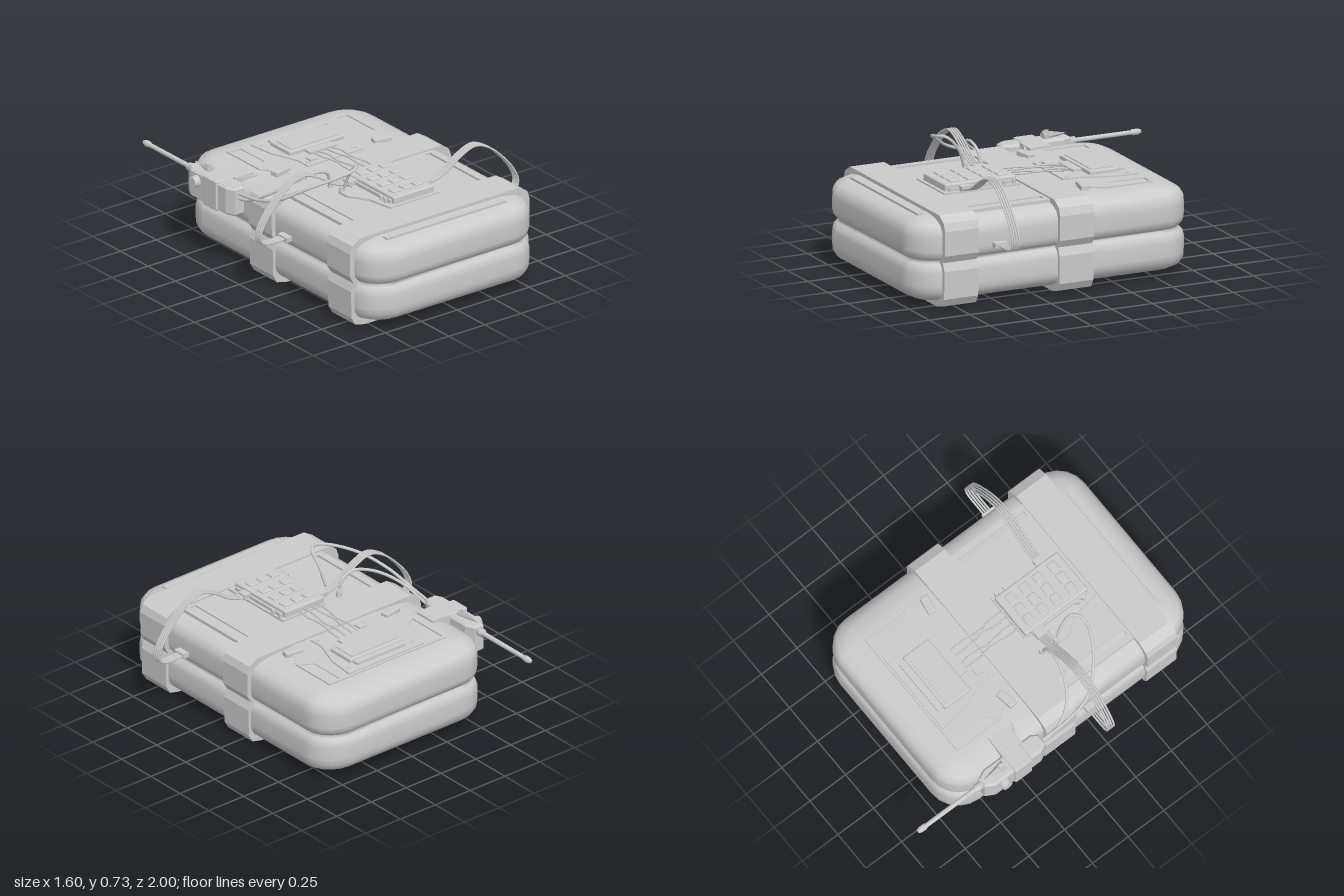
import * as THREE from 'three';
import { RoundedBoxGeometry } from 'three/addons/geometries/RoundedBoxGeometry.js';

const mat = new THREE.MeshStandardMaterial({ color: 0xcccccc });
const thinMat = new THREE.MeshStandardMaterial({ color: 0xcccccc, side: THREE.DoubleSide });
const V = (p) => new THREE.Vector3(...p);

function add(parent, name, geo, pos = [0, 0, 0], material = mat) {
  const m = new THREE.Mesh(geo, material);
  m.name = name;
  m.position.set(...pos);
  parent.add(m);
  return m;
}
// box given by its extents on each axis
function box(parent, name, [x0, x1], [y0, y1], [z0, z1], r = 0) {
  const s = [x1 - x0, y1 - y0, z1 - z0];
  const geo = r ? new RoundedBoxGeometry(...s, 2, r) : new THREE.BoxGeometry(...s);
  return add(parent, name, geo, [(x0 + x1) / 2, (y0 + y1) / 2, (z0 + z1) / 2]);
}
// flat plate from an (x, z) outline, with optional holes
function plate(parent, name, pts, top, h, holes = [], bevel = 0) {
  const path = (a) => a.map((p) => new THREE.Vector2(...p));
  const shape = new THREE.Shape(path(pts));
  holes.forEach((q) => shape.holes.push(new THREE.Path(path(q))));
  const geo = new THREE.ExtrudeGeometry(shape, {
    depth: h, bevelEnabled: bevel > 0, bevelSize: bevel, bevelOffset: -bevel, bevelThickness: bevel, bevelSegments: 1,
  });
  geo.rotateX(Math.PI / 2);
  return add(parent, name, geo, [0, top - bevel, 0]);
}
function wire(parent, name, pts, r, segs = 32, sides = 6) {
  const curve = new THREE.CatmullRomCurve3(pts.map(V));
  return add(parent, name, new THREE.TubeGeometry(curve, segs, r, sides), [0, 0, 0], thinMat);
}
const mirrorX = (pts) => pts.map(([x, y]) => [-x, y]).reverse();

// padded case: rounded rectangles stacked by height and inset
function cushionGeometry() {
  const half = [[0.02, 0.26], [0.024, 0.15], [0.036, 0.075], [0.06, 0.025], [0.095, 0.003], [0.13, 0],
    [0.205, 0], [0.235, 0.008], [0.255, 0.025], [0.267, 0.04]];
  const rows = half.concat(half.slice(0, -1).reverse().map(([y, i]) => [0.534 - y, i]));
  const pos = [], idx = [], seg = 5, n = 4 * (seg + 1);
  for (const [y, inset] of rows) {
    const r = Math.max(0.19 - inset, 0.03), hx = 0.597 - inset - r, hz = 0.86 - inset - r;
    for (let c = 0; c < 4; c++) {
      const sx = c === 0 || c === 3 ? 1 : -1, sz = c < 2 ? 1 : -1;
      for (let k = 0; k <= seg; k++) {
        const a = (c + k / seg) * Math.PI / 2;
        pos.push(sx * hx + r * Math.cos(a), y, 0.14 + sz * hz + r * Math.sin(a));
      }
    }
  }
  for (let j = 0; j < rows.length - 1; j++) {
    for (let i = 0; i < n; i++) {
      const a = j * n + i, b = j * n + (i + 1) % n;
      idx.push(a, a + n, b, b, a + n, b + n);
    }
  }
  const low = pos.length / 3, last = (rows.length - 1) * n;
  pos.push(0, 0.02, 0.14, 0, 0.514, 0.14);
  for (let i = 0; i < n; i++) {
    const k = (i + 1) % n;
    idx.push(low, i, k, low + 1, last + k, last + i);
  }
  const geo = new THREE.BufferGeometry();
  geo.setAttribute('position', new THREE.Float32BufferAttribute(pos, 3));
  geo.setIndex(idx);
  geo.computeVertexNormals();
  return geo;
}

export function createModel() {
  const root = new THREE.Group();
  root.name = 'satchelDevice';
  const group = (name) => {
    const g = new THREE.Group();
    g.name = name;
    root.add(g);
    return g;
  };
  add(root, 'paddedCase', cushionGeometry());

  // wraparound straps
  const side = [[0.52, 0], [0.585, 0.015], [0.612, 0.06], [0.616, 0.22], [0.597, 0.267],
    [0.622, 0.31], [0.624, 0.45], [0.608, 0.495], [0.55, 0.53]];
  const strapShape = new THREE.Shape(side.concat(mirrorX(side)).map((p) => new THREE.Vector2(...p)));
  for (const [z0, z1] of [[-0.08, 0.13], [0.63, 0.84]]) {
    add(root, 'strap', new THREE.ExtrudeGeometry(strapShape, { depth: z1 - z0, bevelEnabled: false }), [0, 0, z0]);
  }

  // front panel with side slots, and front rib
  const slot = (s) => [[s * 0.42, 0.15], [s * 0.46, 0.15], [s * 0.46, 0.61], [s * 0.42, 0.61]];
  plate(root, 'frontPanel', [[-0.5, 0.13], [0.5, 0.13], [0.5, 0.63], [-0.5, 0.63]], 0.52, 0.02, [slot(1), slot(-1)]);
  box(root, 'frontRib', [-0.415, 0.415], [0.48, 0.514], [0.865, 0.905]);

  // rear panel with tapered slots
  const rearSlot = [[0.405, -0.53], [0.405, -0.27], [0.335, -0.31], [0.335, -0.53]];
  plate(root, 'rearPanel', [[-0.42, -0.545], [0.42, -0.545], [0.42, -0.25], [0.3, -0.08], [-0.3, -0.08], [-0.42, -0.25]],
    0.519, 0.02, [rearSlot, mirrorX(rearSlot)]);
  const mount = [[0.27, -0.53], [0.25, -0.36], [0.19, -0.2], [0.19, -0.105]];
  plate(root, 'displayMount', mount.concat(mirrorX(mount)), 0.527, 0.02);

  // display unit
  const display = group('display');
  box(display, 'displayHousing', [-0.19, 0.19], [0.51, 0.55], [-0.45, -0.27], 0.008);
  box(display, 'displayBack', [-0.175, 0.175], [0.51, 0.54], [-0.49, -0.44]);
  box(display, 'displayScreen', [-0.165, 0.165], [0.54, 0.555], [-0.43, -0.29]);
  box(display, 'wireSocket', [-0.09, 0.09], [0.51, 0.54], [-0.27, -0.215]);
  box(display, 'switch', [-0.145, -0.095], [0.51, 0.537], [-0.19, -0.14]);
  for (const s of [1, -1]) {
    const b = box(root, 'buckle', [s * 0.35 - 0.055, s * 0.35 + 0.055], [0.5, 0.54], [-0.17, -0.12], 0.006);
    b.rotation.y = s * -0.17;
    for (const z of [-0.48, -0.14]) {
      add(display, 'screw', new THREE.CylinderGeometry(0.01, 0.01, 0.02, 8), [s * (z < -0.3 ? 0.23 : 0.165), 0.522, z]);
    }
  }

  // keypad
  const keypad = group('keypad');
  plate(keypad, 'keypadBase', [[-0.13, 0.15], [0.175, 0.15], [0.175, 0.62], [-0.17, 0.62], [-0.2, 0.46], [-0.27, 0.35],
    [-0.27, 0.28], [-0.18, 0.28]], 0.532, 0.02);
  box(keypad, 'keypadStep', [-0.145, 0.16], [0.52, 0.552], [0.2, 0.58]);
  box(keypad, 'keypadHousing', [-0.132, 0.147], [0.52, 0.572], [0.16, 0.6], 0.01);
  for (const x of [-0.07, 0.008, 0.086]) {
    for (const z of [0.23, 0.325, 0.42, 0.525]) {
      box(keypad, 'key', [x - 0.031, x + 0.031], [0.56, 0.582], [z - 0.027, z + 0.027], 0.007);
    }
  }
  for (const [x, z] of [[0.163, 0.185], [0.163, 0.245], [-0.152, 0.51], [-0.152, 0.55]]) {
    add(keypad, 'indicator', new THREE.CylinderGeometry(0.011, 0.012, 0.035, 8), [x, 0.54, z]);
  }

  // slack wires between keypad and display
  [-0.065, -0.033, 0.025, 0.06].forEach((x, i) => {
    const w = i % 2 ? 0.007 : -0.007;
    wire(root, 'linkWire', [[x, 0.53, -0.225], [x + w, 0.54, -0.13], [x - w, 0.545, -0.03], [x + w, 0.55, 0.08], [x, 0.555, 0.17]],
      0.005, 20, 5);
  });

  // looping ribbon cables, four strands each
  const loop = [[0.14, 0.545], [0.21, 0.548], [0.3, 0.58], [0.4, 0.645], [0.5, 0.68], [0.6, 0.64], [0.7, 0.55],
    [0.77, 0.46], [0.797, 0.39], [0.785, 0.35], [0.74, 0.336], [0.58, 0.336]];
  for (const [s, z] of [[1, 0.49], [-1, 0.235]]) {
    const ribbon = group(s > 0 ? 'leftRibbonCable' : 'rightRibbonCable');
    for (let i = 0; i < 4; i++) {
      const zi = z + (i - 1.5) * 0.0145;
      wire(ribbon, 'strand', loop.map(([x, y]) => [s * x, y, zi]), 0.0062, 48);
    }
    box(ribbon, 'plug', s > 0 ? [0.57, 0.635] : [-0.635, -0.57], [0.322, 0.35], [z - 0.035, z + 0.045]);
    box(ribbon, 'keypadPlug', s > 0 ? [0.14, 0.19] : [-0.19, -0.13], [0.53, 0.56], [z - 0.03, z + 0.03]);
  }

  // radio strapped to the side
  const radio = group('radio');
  plate(radio, 'radioBody', [[-0.675, -0.555], [-0.615, -0.555], [-0.59, -0.5], [-0.59, -0.17], [-0.615, -0.13], [-0.68, -0.13],
    [-0.705, -0.18], [-0.705, -0.5]], 0.512, 0.145, [], 0.012);
  box(radio, 'radioStrap', [-0.717, -0.57], [0.342, 0.52], [-0.37, -0.25], 0.008);
  plate(radio, 'radioStrapTab', [[-0.6, -0.37], [-0.47, -0.365], [-0.47, -0.355], [-0.55, -0.34], [-0.55, -0.235],
    [-0.46, -0.21], [-0.48, -0.2], [-0.6, -0.25]], 0.515, 0.03);
  box(radio, 'radioStrapTop', [-0.6, -0.47], [0.49, 0.519], [-0.365, -0.23]);
  const knob = add(radio, 'sideKnob', new THREE.CylinderGeometry(0.03, 0.036, 0.04, 12), [-0.72, 0.457, -0.44]);
  knob.rotation.z = Math.PI / 2;
  const fin = add(radio, 'topFin', new THREE.ConeGeometry(0.032, 0.15, 4), [-0.645, 0.525, -0.47]);
  fin.rotation.x = -Math.PI / 2;
  add(radio, 'topButton', new THREE.CylinderGeometry(0.013, 0.015, 0.05, 8), [-0.645, 0.53, -0.42]);

  // antenna, a turned profile laid along -z
  const profile = [[0, 0], [0.024, 0], [0.024, 0.05], [0.014, 0.06], [0.013, 0.4], [0.018, 0.41], [0.018, 0.44], [0.011, 0.46], [0, 0.46]];
  const antenna = add(radio, 'antenna', new THREE.LatheGeometry(profile.map((p) => new THREE.Vector2(...p)), 10), [-0.645, 0.475, -0.54]);
  antenna.rotation.x = -Math.PI / 2;

  // cables from radio to the front panel
  wire(root, 'shortRadioCable', [[-0.645, 0.44, -0.15], [-0.645, 0.46, -0.06], [-0.62, 0.51, 0.04], [-0.55, 0.57, 0.12], [-0.45, 0.62, 0.17],
    [-0.35, 0.64, 0.19], [-0.28, 0.61, 0.188], [-0.255, 0.52, 0.18]], 0.009, 40, 8);
  wire(root, 'longRadioCable', [[-0.645, 0.47, -0.15], [-0.648, 0.5, 0.05], [-0.625, 0.55, 0.2], [-0.53, 0.63, 0.32], [-0.4, 0.69, 0.41],
    [-0.3, 0.718, 0.437], [-0.24, 0.722, 0.4], [-0.235, 0.65, 0.33], [-0.25, 0.52, 0.28]], 0.009, 48, 8);
  for (const z of [0.18, 0.28]) {
    add(root, 'cableSocket', new THREE.CylinderGeometry(0.014, 0.018, 0.04, 10), [-0.252, 0.535, z]);
  }
  return root;
}
